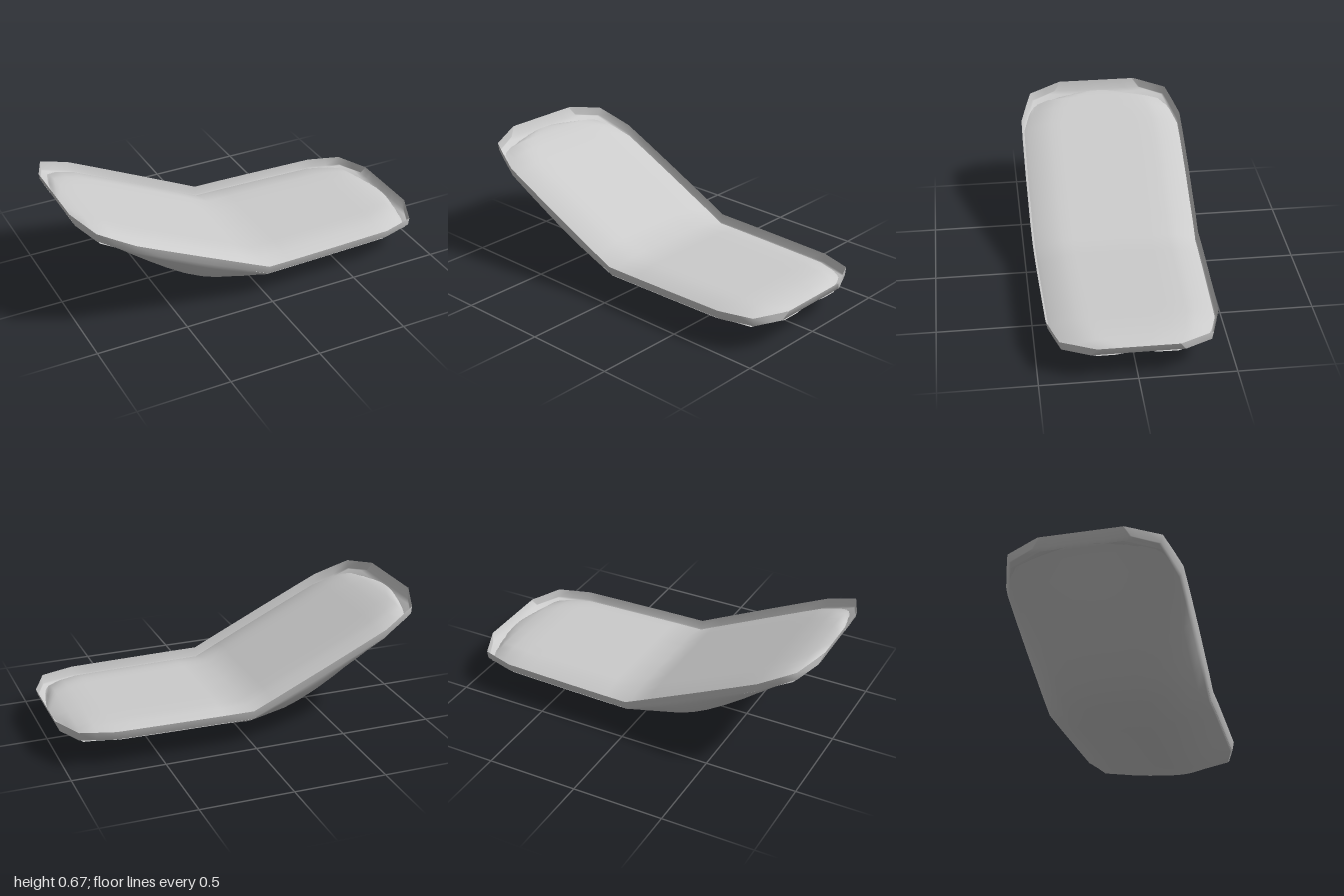
import * as THREE from 'three';

// Stations along the length: [x, half width, underside height]
const STATIONS = [
  [-1, 0.22, 0.672], [-0.985, 0.26, 0.62], [-0.965, 0.31, 0.602], [-0.93, 0.4, 0.573],
  [-0.85, 0.43, 0.495], [-0.75, 0.464, 0.402], [-0.62, 0.466, 0.285], [-0.5, 0.466, 0.19],
  [-0.4, 0.466, 0.122], [-0.32, 0.465, 0.08], [-0.24, 0.464, 0.052], [-0.12, 0.463, 0.027],
  [0, 0.46, 0.014], [0.15, 0.458, 0.007], [0.35, 0.453, 0.002], [0.52, 0.448, 0.004],
  [0.65, 0.444, 0.016], [0.74, 0.441, 0.033], [0.84, 0.411, 0.068], [0.92, 0.386, 0.115],
  [0.96, 0.297, 0.142], [0.985, 0.242, 0.155], [1, 0.21, 0.2],
];

// Lopsided belly of the level half: [position across, share of depth below the lip]
const SECTION = [
  [-1, 0], [-0.98, 0], [-0.95, 0.065], [-0.87, 0.2], [-0.76, 0.37], [-0.65, 0.53],
  [-0.43, 0.73], [-0.22, 0.87], [0, 0.955], [0.14, 0.99], [0.26, 1], [0.35, 0.97],
  [0.43, 0.91], [0.54, 0.8], [0.65, 0.66], [0.76, 0.47], [0.87, 0.25], [0.95, 0.08],
  [0.98, 0], [1, 0],
];
const LIP = 0.045;

// The rim is level on one half and rises along the other
const rimHeight = (x) => 0.2 + Math.max(0, -x) * 0.472;

// Skin over the station grid; pointAt gives each vertex
function skin(name, pointAt, facingUp) {
  const positions = [];
  const index = [];
  const n = SECTION.length;
  STATIONS.forEach((station, i) => {
    SECTION.forEach((cut, j) => {
      positions.push(...pointAt(station, cut));
      if (i === 0 || j === 0) return;
      const d = i * n + j, c = d - 1, b = d - n, a = b - 1;
      if (facingUp) index.push(a, b, c, b, d, c);
      else index.push(a, c, b, b, c, d);
    });
  });
  const geometry = new THREE.BufferGeometry();
  geometry.setAttribute('position', new THREE.Float32BufferAttribute(positions, 3));
  geometry.setIndex(index);
  geometry.computeVertexNormals();
  const material = new THREE.MeshStandardMaterial({ color: 0xcccccc, side: THREE.DoubleSide });
  const mesh = new THREE.Mesh(geometry, material);
  mesh.name = name;
  return mesh;
}

// Underside: a steep lip, then a belly that is even on the raised half and lopsided on the level half
function hullPoint([x, halfWidth, bottom], [t, share]) {
  const depth = rimHeight(x) - bottom;
  const lip = Math.abs(t) === 1 ? 0 : Math.min(LIP, depth);
  const even = Math.abs(t) < 0.98 ? 1 - Math.abs(t) ** 3 : 0;
  const belly = THREE.MathUtils.lerp(even, share, THREE.MathUtils.smoothstep(x, -0.25, 0.2));
  return [x, rimHeight(x) - lip - (depth - lip) * belly, t * halfWidth];
}

// Padded top: level with the rim in the middle, rolling down inside the lip
function padPoint([x, halfWidth], [t]) {
  const px = x * 0.977;
  const pz = t * halfWidth * 0.97;
  const roll = (distance) => Math.max(0, 1 - distance / 0.2) ** 2;
  const drop = Math.min(1, roll(1 - Math.abs(px)) + roll(halfWidth - Math.abs(pz)));
  return [px, rimHeight(px) - 0.006 - 0.052 * drop, pz];
}

export function createModel() {
  const group = new THREE.Group();
  group.name = 'bentShell';
  group.add(skin('outerHull', hullPoint, false));
  group.add(skin('paddedTop', padPoint, true));
  return group;
}
